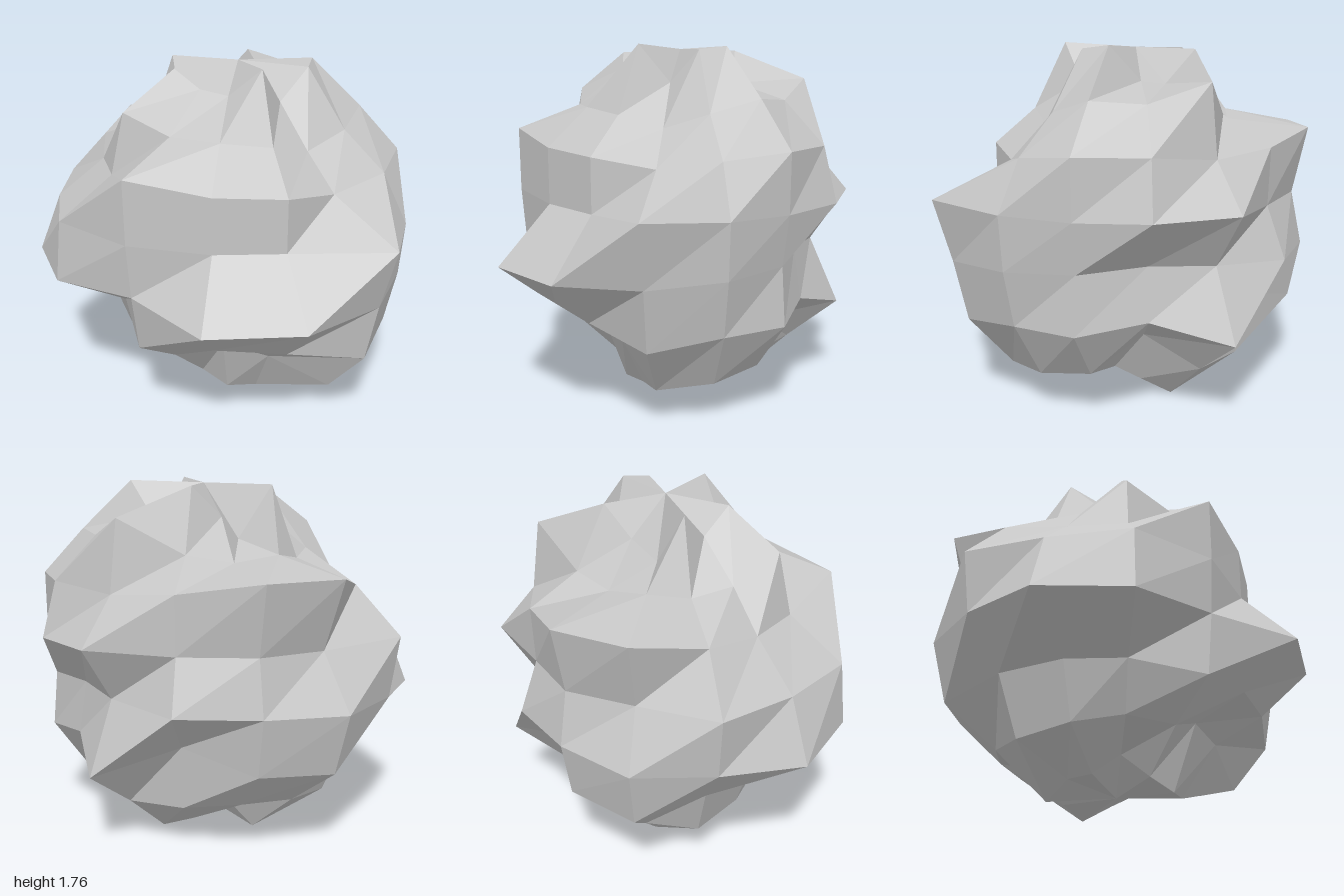
import * as THREE from 'three';

// Radius of the lumpy stone on each ring, top to bottom.
// Each ring holds 14 values, turning from +x towards +z.
const rings = [
  [1.02],
  [1.08, 0.885, 1.114, 0.94, 0.965, 1.065, 0.907, 1.077, 0.75, 0.89, 1.075, 0.87, 0.89, 1.10],
  [0.88, 0.77, 0.86, 0.90, 0.90, 1.014, 0.83, 0.78, 0.83, 0.78, 0.84, 1.105, 0.955, 0.98],
  [0.895, 0.78, 0.895, 0.935, 1.085, 0.84, 0.825, 0.925, 1.09, 1.09, 0.945, 0.88, 0.965, 0.97],
  [0.915, 1.09, 0.785, 0.82, 0.95, 1.04, 0.98, 1.045, 0.84, 0.88, 0.82, 0.99, 0.925, 0.85],
  [0.895, 1.0, 1.09, 1.125, 0.925, 1.075, 1.105, 1.0, 1.01, 0.94, 0.93, 0.785, 0.70, 0.81],
  [0.953, 1.06, 0.93, 0.91, 1.0, 0.79, 0.82, 0.906, 1.055, 1.0, 0.79, 1.09, 0.845, 0.95],
  [1.044, 1.083, 0.84, 0.77, 0.90, 0.867, 0.945, 1.03, 1.0, 0.98, 1.0, 1.01, 0.76, 0.99],
  [0.88, 0.91, 1.03, 1.04, 0.976, 0.85, 0.98, 0.99, 1.095, 0.87, 1.02, 1.09, 0.98, 0.91],
  [0.965],
];

export function createModel() {
  const stone = new THREE.MeshStandardMaterial({ color: 0xc6c6c6, flatShading: true });
  stone.name = 'stone grey';

  // Coarse sphere pushed in and out along its own directions
  const sides = 14;
  const bands = rings.length - 1;
  const geometry = new THREE.SphereGeometry(1, sides, bands);
  const pos = geometry.attributes.position;
  const v = new THREE.Vector3();
  for (let i = 0; i < pos.count; i++) {
    const ring = rings[Math.floor(i / (sides + 1))];
    const turn = (7 - (i % (sides + 1)) + sides) % sides;
    v.fromBufferAttribute(pos, i).multiplyScalar(ring[turn % ring.length]);
    pos.setXYZ(i, v.x, v.y, v.z);
  }

  // Facets split from upper right to lower left
  const index = [];
  for (let band = 0; band < bands; band++) {
    for (let side = 0; side < sides; side++) {
      const upperLeft = band * (sides + 1) + side;
      const upperRight = upperLeft + 1;
      const lowerLeft = upperLeft + sides + 1;
      const lowerRight = lowerLeft + 1;
      if (band > 0) index.push(upperLeft, lowerLeft, upperRight);
      if (band < bands - 1) index.push(lowerLeft, lowerRight, upperRight);
    }
  }
  geometry.setIndex(index);

  // Slightly squashed, resting on the ground
  geometry.scale(1, 0.85, 0.89);
  geometry.translate(0.03, 0.875, -0.06);
  geometry.computeVertexNormals();

  const rock = new THREE.Mesh(geometry, stone);
  rock.name = 'rock';
  const group = new THREE.Group();
  group.name = 'boulder';
  group.add(rock);
  return group;
}
